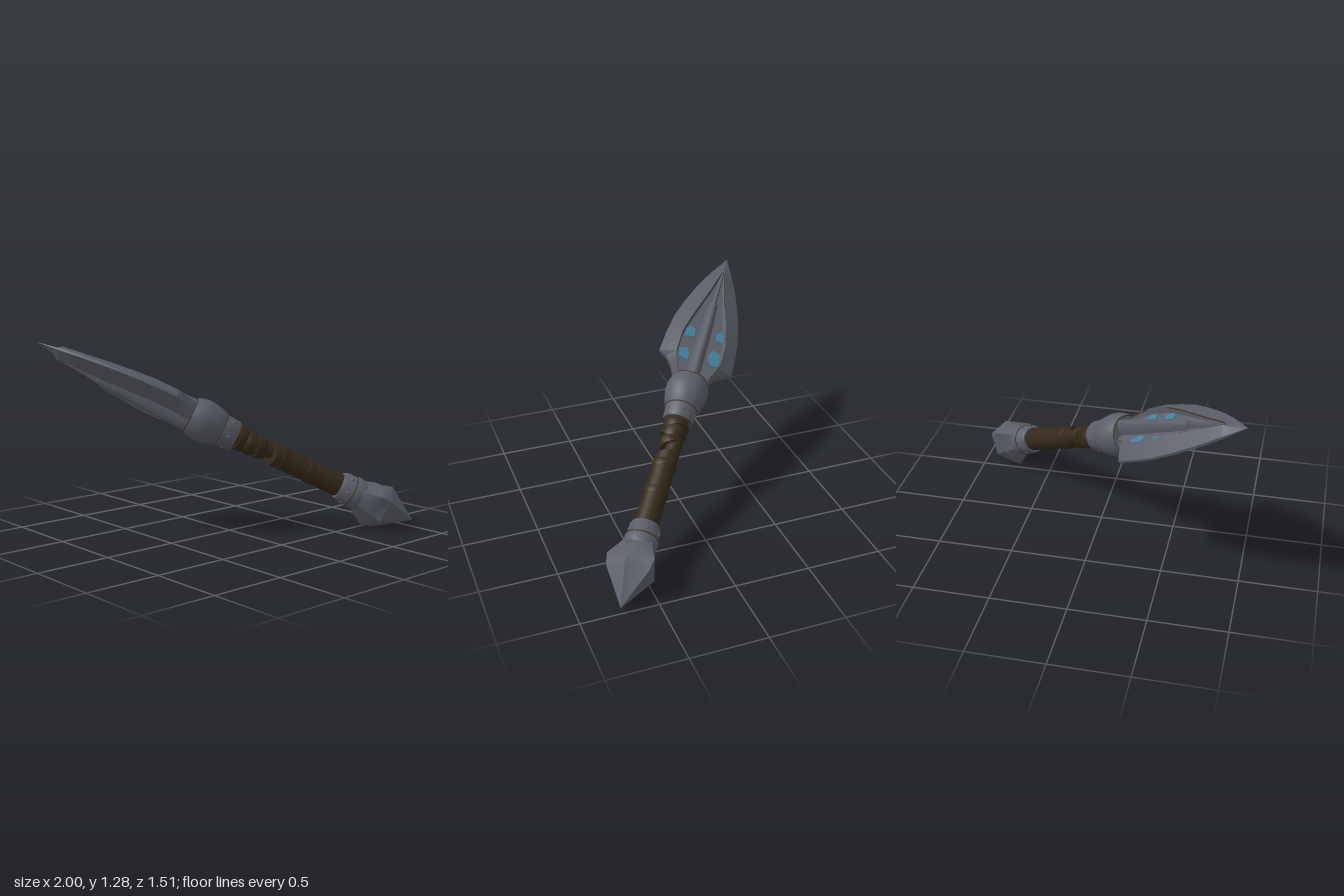
import * as THREE from 'three';
import { toCreasedNormals } from 'three/addons/utils/BufferGeometryUtils.js';

const mat = (name, color) => {
  const m = new THREE.MeshStandardMaterial({ color });
  m.name = name;
  return m;
};

export function createModel() {
  const steel = mat('steel', 0x5b5e68);
  const leather = mat('leather', 0x34281a);
  const rust = mat('rust', 0x44341f);
  const crystal = mat('blue crystal', 0x3f829e);

  const model = new THREE.Group();
  model.name = 'dagger';

  // Local frame: +y runs from pommel point to blade tip, x is blade width
  const weapon = new THREE.Group();
  weapon.name = 'tiltedWeapon';
  const dir = new THREE.Vector3(-2, 1.23, -1.49).normalize();
  const flat = new THREE.Vector3(-0.439, 0.363, 0.821).cross(dir).normalize();
  const wide = new THREE.Vector3().crossVectors(dir, flat);
  weapon.quaternion.setFromRotationMatrix(new THREE.Matrix4().makeBasis(wide, dir, flat));
  weapon.position.set(1, 0.06, 0.745);
  model.add(weapon);

  const add = (name, geo, material, x = 0, y = 0, z = 0) => {
    const m = new THREE.Mesh(geo, material);
    m.name = name;
    m.position.set(x, y, z);
    weapon.add(m);
    return m;
  };
  const profile = pts => pts.map(p => new THREE.Vector2(p[0], p[1]));
  const lathe = (pts, sides, crease = 0.6) => toCreasedNormals(
    new THREE.LatheGeometry(profile(pts), sides), crease);

  // Pointed pommel: six edges, three of them prominent and blunted
  const pommel = new THREE.LatheGeometry(
    profile([[0, 0], [0.166, 0.235], [0.181, 0.31], [0.095, 0.45], [0, 0.45]]), 6);
  pommel.rotateY(Math.PI / 2);
  const pp = pommel.attributes.position;
  for (let i = 0; i < pp.count; i++) {
    const x = pp.getX(i), z = pp.getZ(i), r = Math.hypot(x, z);
    if (r > 0.15 && Math.cos(3 * Math.atan2(z, x)) < 0) {
      const k = r > 0.175 ? 0.7 : 0.9;
      pp.setX(i, x * k);
      pp.setZ(i, z * k);
    }
  }
  add('pommel', toCreasedNormals(pommel, 0.5), steel);

  // Lower collar and the flared guard collar under the blade
  add('lowerCollar', lathe([[0.085, 0.39], [0.103, 0.41], [0.109, 0.46], [0.102, 0.478],
    [0.1, 0.55], [0.09, 0.57], [0, 0.57]], 24), steel);
  add('guardCollar', lathe([[0, 1.345], [0.092, 1.345], [0.102, 1.36], [0.107, 1.45], [0.117, 1.46],
    [0.133, 1.52], [0.143, 1.575], [0.143, 1.61], [0.134, 1.65], [0.122, 1.685], [0, 1.685]], 32), steel);

  // Rusted seams and rivets on both collars
  const seam = (r, y) => add('rustSeam', new THREE.TorusGeometry(r, 0.004, 6, 32).rotateX(Math.PI / 2), rust, 0, y, 0);
  seam(0.103, 0.479); seam(0.108, 1.454); seam(0.093, 1.347); seam(0.121, 1.685);
  for (const [r, y] of [[0.098, 0.515], [0.101, 1.405]]) {
    for (let i = 0; i < 6; i++) {
      const a = (i + 0.5) * Math.PI / 3;
      add('rivet', new THREE.SphereGeometry(0.012, 10, 6), steel, r * Math.cos(a), y, r * Math.sin(a));
    }
  }

  // Grip: lower sleeve with a slanted end, off-centre neck, upper core
  const sleeve = new THREE.CylinderGeometry(0.076, 0.079, 0.53, 20, 1);
  const sp = sleeve.attributes.position;
  for (let i = 0; i < sp.count; i++) {
    if (sp.getY(i) > 0) sp.setY(i, sp.getY(i) - 0.25 * (sp.getX(i) + sp.getZ(i)));
  }
  add('gripSleeve', toCreasedNormals(sleeve, 0.7), leather, 0, 0.815, 0);
  add('gripNeck', new THREE.CylinderGeometry(0.052, 0.052, 0.2, 16), leather, -0.02, 1.11, -0.02);
  add('gripCore', new THREE.CylinderGeometry(0.076, 0.07, 0.22, 20), leather, 0, 1.26, 0);

  // Overlapping leather bands
  const band = (y, r, h, tiltX, tiltZ) => {
    const m = add('leatherWrap', lathe([[r - 0.03, -h / 2], [r - 0.005, -h / 2], [r, -h / 4],
      [r, h / 4], [r - 0.005, h / 2], [r - 0.03, h / 2]], 20), leather, 0, y, 0);
    m.rotation.set(tiltX, 0, tiltZ);
  };
  band(0.8, 0.08, 0.06, -0.2, 0.15);
  band(1.0, 0.081, 0.06, 0.25, -0.25);
  band(1.18, 0.077, 0.07, 0.3, -0.3);
  band(1.25, 0.081, 0.08, -0.25, 0.3);
  band(1.315, 0.085, 0.07, 0.2, -0.25);

  // Blade stations: [along, half width, panel half width, border height, panel height]
  const stations = [
    [1.64, 0.115, 0.098, 0.06, 0.035], [1.70, 0.128, 0.112, 0.065, 0.035],
    [1.77, 0.165, 0.138, 0.07, 0.035], [1.805, 0.205, 0.15, 0.072, 0.035],
    [1.835, 0.263, 0.158, 0.073, 0.035], [2.0, 0.255, 0.158, 0.073, 0.035],
    [2.15, 0.238, 0.127, 0.07, 0.035], [2.3, 0.2, 0.088, 0.065, 0.035],
    [2.45, 0.151, 0.05, 0.056, 0.035], [2.527, 0.122, 0.034, 0.051, 0.035],
    [2.62, 0.08, 0.012, 0.044, 0.03], [2.65, 0.065, 0.008, 0.022, 0.02], [2.785, 0, 0, 0, 0]];
  const verts = [], faces = [];
  stations.forEach(([t, o, p, h, q]) => {
    const e = Math.min(0.008, o * 0.1), s = Math.max(p - 0.014, p * 0.5);
    const top = [[o, e], [p, h], [s, q], [0, q], [-s, q], [-p, h], [-o, e]];
    const ring = [...top, ...top.map(([x, z]) => [-x, -z])];
    ring.forEach(([x, z]) => verts.push(x, t, z));
  });
  const n = 14;
  for (let k = 0; k < stations.length - 1; k++) {
    for (let i = 0; i < n; i++) {
      const a = k * n + i, b = k * n + (i + 1) % n;
      faces.push(b, a, a + n, b + n, b, a + n);
    }
  }
  const bladeGeo = new THREE.BufferGeometry();
  bladeGeo.setAttribute('position', new THREE.Float32BufferAttribute(verts, 3));
  bladeGeo.setIndex(faces);
  add('blade', toCreasedNormals(bladeGeo, 0.5), steel);

  // Central rib, with a thin ridge running on toward the tip
  const rib = lathe([[0.118, 1.6], [0.113, 1.85], [0.106, 2.02], [0.096, 2.16], [0.079, 2.32], [0, 2.335]], 20);
  rib.scale(0.44, 1, 1);
  add('bladeRib', rib, steel);
  const ridge = new THREE.CylinderGeometry(0.046, 0.076, 0.32, 10);
  ridge.scale(0.28, 1, 1);
  add('bladeRidge', toCreasedNormals(ridge, 0.7), steel, 0, 2.465, 0);

  // Blue patches and rusted panel edges on both faces of the blade
  const patches = [
    [-0.11, 2.085, [[-0.028, -0.04], [0.024, -0.038], [0.032, 0.02], [0, 0.045], [-0.012, 0.02]]],
    [-0.108, 1.9, [[-0.036, -0.055], [0.01, -0.065], [0.045, 0.005], [0.02, 0.065], [-0.034, 0.04]]],
    [0.103, 2.05, [[-0.036, -0.035], [0.022, -0.05], [0.034, 0.01], [0, 0.05], [-0.03, 0.025]]],
    [0.102, 1.865, [[-0.036, -0.05], [0.025, -0.035], [0.036, 0.025], [-0.01, 0.05], [-0.038, 0]]]];
  const rustRuns = [[1, 0, 3], [1, 5, 10], [-1, 1, 4], [-1, 7, 10]];
  for (const side of [-1, 1]) {
    for (const [x, y, pts] of patches) {
      const geo = new THREE.ExtrudeGeometry(new THREE.Shape(profile(pts)), { depth: 0.007, bevelEnabled: false });
      add('crystalPatch', geo, crystal, x, y, side * 0.037 - 0.0035);
    }
    for (const [mx, from, to] of rustRuns) {
      const path = new THREE.CatmullRomCurve3(stations.slice(from, to + 1).map(([t, , p, h]) =>
        new THREE.Vector3(mx * (p - 0.003), t, side * (h - 0.004))));
      add('rustPanelEdge', new THREE.TubeGeometry(path, 20, 0.004, 5), rust);
    }
  }
  return model;
}
